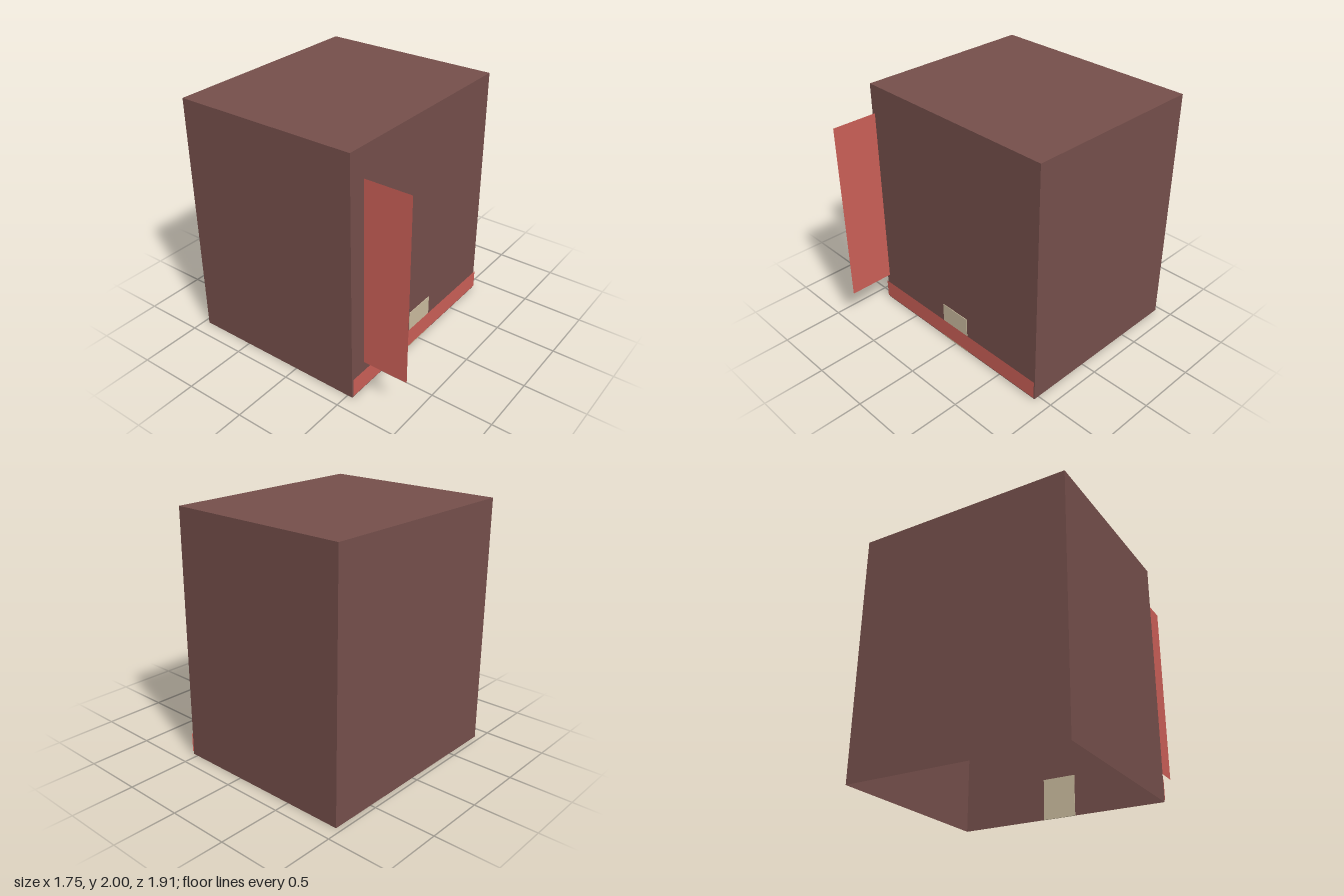
import * as THREE from 'three';

const material = (name, color) =>
  new THREE.MeshStandardMaterial({ name, color, side: THREE.DoubleSide });

export function createModel() {
  const model = new THREE.Group();
  model.name = 'building';
  const brown = material('brown wall', 0x754f4b);
  const red = material('red sign', 0xca5f57);
  const cream = material('cream door', 0xcabb9e);

  const add = (name, geometry, mat, x, y, z) => {
    const mesh = new THREE.Mesh(geometry, mat);
    mesh.name = name;
    mesh.position.set(x, y, z);
    model.add(mesh);
    return mesh;
  };

  // Hollow shell: four walls and a roof, with the floor face left out
  const shell = new THREE.BoxGeometry(1.75, 2, 1.5);
  const index = Array.from(shell.index.array);
  index.splice(18, 6);
  shell.setIndex(index);
  shell.clearGroups();
  add('walls', shell, brown, 0, 1, -0.207);

  // Thin door set through the front wall, seen from outside and inside
  add('door', new THREE.BoxGeometry(0.275, 0.33, 0.009), cream, 0, 0.165, 0.543);

  // Flat band across the foot of the front wall
  add('frontBand', new THREE.PlaneGeometry(1.75, 0.155), red, 0, 0.0975, 0.554);

  // Upright sign projecting from the front, facing sideways
  const sign = add('hangingSign', new THREE.PlaneGeometry(0.372, 1.5), red, -0.785, 1.05, 0.771);
  sign.rotation.y = -Math.PI / 2;

  return model;
}
